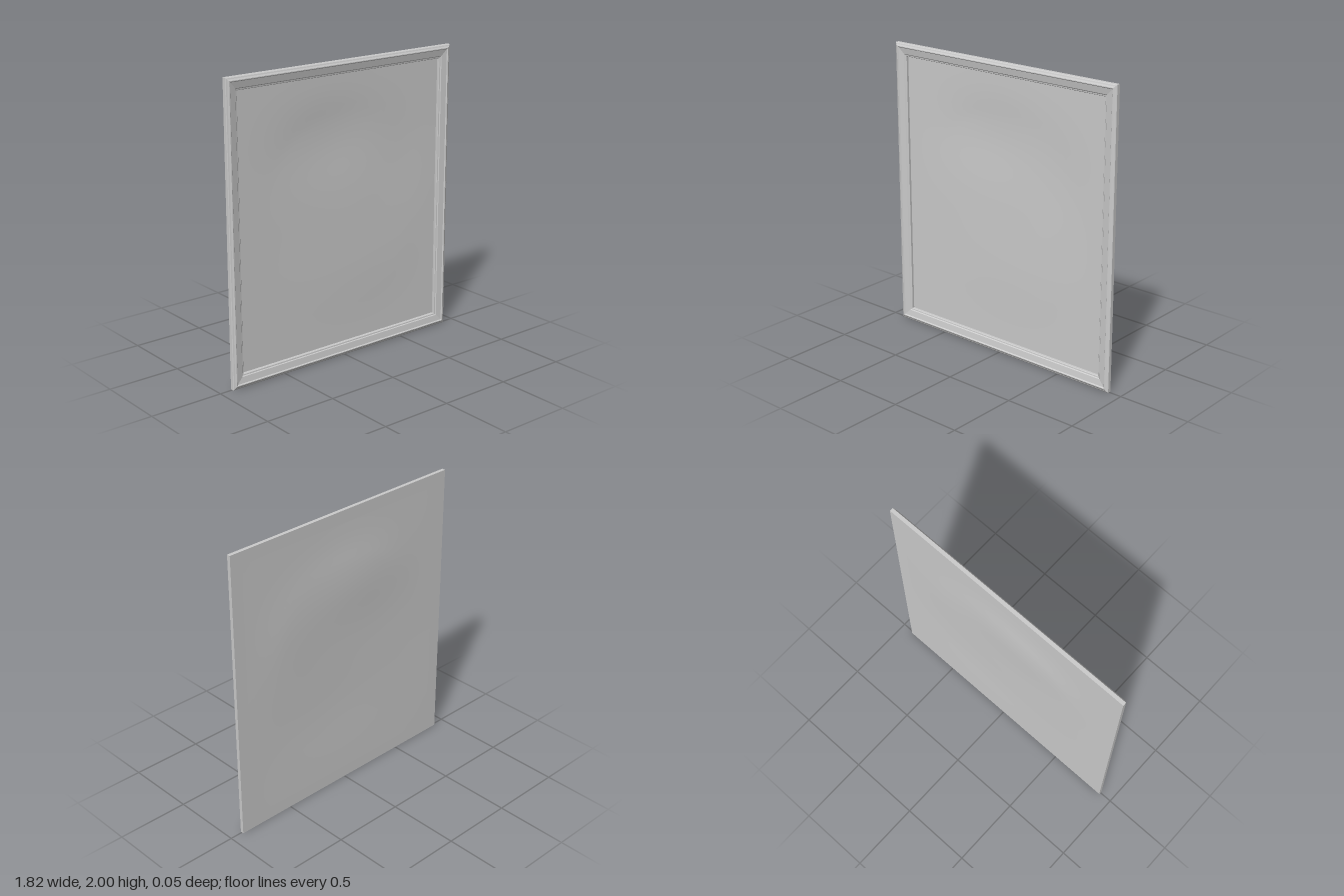
import * as THREE from 'three';

const HALF_W = 0.91, HALF_H = 1, BACK = -0.0135, LIP = 0.088;

// Moulding cross-section: [inset from the outer edge, z], outer back to inner back
const PROFILE = [
  [0, BACK], [0, 0.011], [0.004, 0.015], [0.012, 0.018], [0.021, 0.024], [0.026, 0.024],
  [0.031, 0.018], [0.072, 0.011], [0.077, 0.006], [0.085, 0.005], [LIP, 0.002], [LIP, BACK],
];

// Sweeps the closed cross-section round a rectangle with mitred corners
function mouldingGeometry(profile) {
  const signs = [[-1, -1], [1, -1], [1, 1], [-1, 1]];
  const corner = ([inset, z], k) => {
    const [sx, sy] = signs[k % 4];
    return [sx * (HALF_W - inset), HALF_H + sy * (HALF_H - inset), z];
  };
  const positions = [];
  profile.forEach((p, i) => {
    const q = profile[(i + 1) % profile.length];
    for (let k = 0; k < 4; k++) {
      const a = corner(p, k), b = corner(p, k + 1), c = corner(q, k + 1), d = corner(q, k);
      positions.push(...a, ...b, ...c, ...a, ...c, ...d);
    }
  });
  const geometry = new THREE.BufferGeometry();
  geometry.setAttribute('position', new THREE.Float32BufferAttribute(positions, 3));
  geometry.computeVertexNormals();
  return geometry;
}

// Slightly slack sheet: sags backwards in the upper half, forwards lower down
function canvasGeometry() {
  const w = 2 * (HALF_W - LIP), h = 2 * (HALF_H - LIP);
  const geometry = new THREE.PlaneGeometry(w, h, 32, 36);
  geometry.translate(0, HALF_H, 0);
  const pos = geometry.attributes.position;
  const bump = (x, y, cx, cy, rx, ry) => Math.exp(-(((x - cx) / rx) ** 2) - ((y - cy) / ry) ** 2);
  for (let i = 0; i < pos.count; i++) {
    const x = pos.getX(i), y = pos.getY(i);
    const edge = (1 - (2 * x / w) ** 2) * (1 - (2 * (y - HALF_H) / h) ** 2);
    const sag = -0.0135 * bump(x, y, -0.1, 1.5, 0.45, 0.28)
      - 0.005 * bump(x, y, 0.5, 1.3, 0.3, 0.3)
      + 0.005 * bump(x, y, 0.15, 0.6, 0.5, 0.3);
    pos.setZ(i, BACK + sag * Math.min(1, edge * 2));
  }
  geometry.computeVertexNormals();
  return geometry;
}

export function createModel() {
  const group = new THREE.Group();
  group.name = 'framedPicture';

  const frame = new THREE.Mesh(
    mouldingGeometry(PROFILE),
    new THREE.MeshStandardMaterial({ color: 0xcccccc, flatShading: true }),
  );
  frame.name = 'frame';

  const canvas = new THREE.Mesh(
    canvasGeometry(),
    new THREE.MeshStandardMaterial({ color: 0xcccccc, side: THREE.DoubleSide }),
  );
  canvas.name = 'canvas';

  group.add(frame, canvas);
  return group;
}
